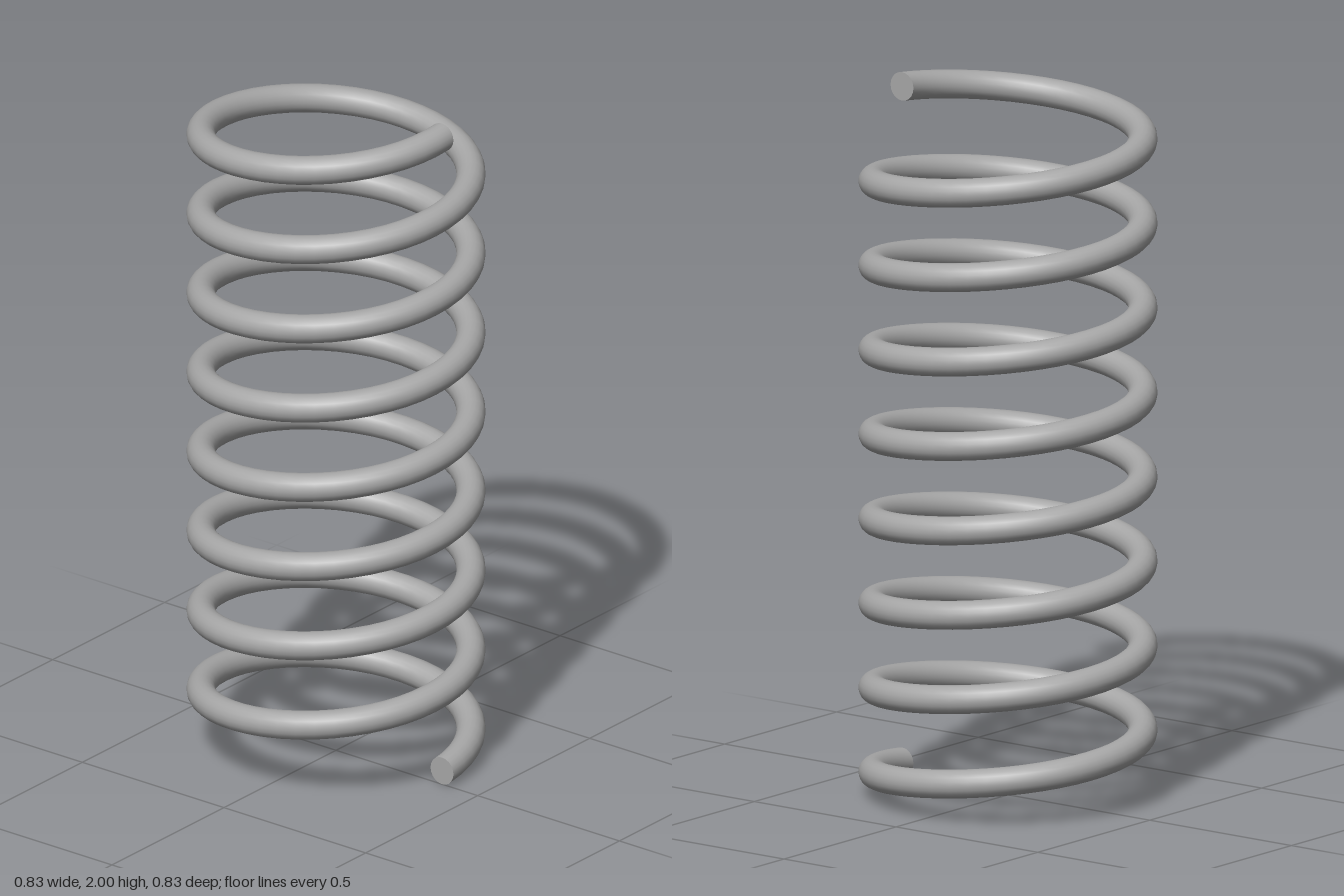
import * as THREE from 'three';

const TURNS = 8;
const COIL_RADIUS = 0.374;
const WIRE_RADIUS = 0.0405;
const HEIGHT = 2;

// Wraps a capped unit-height cylinder into a helix: its x becomes radial, its z becomes up
function coilGeometry() {
  const geometry = new THREE.CylinderGeometry(WIRE_RADIUS, WIRE_RADIUS, 1, 20, TURNS * 48);
  const { position, normal } = geometry.attributes;
  const rise = HEIGHT - 2 * WIRE_RADIUS;
  const slope = rise / (TURNS * 2 * Math.PI * COIL_RADIUS);
  const n = new THREE.Vector3();

  for (let i = 0; i < position.count; i++) {
    const t = position.getY(i) + 0.5;
    const angle = t * TURNS * 2 * Math.PI;
    const c = Math.cos(angle), s = Math.sin(angle);
    const r = COIL_RADIUS + position.getX(i);
    const y = WIRE_RADIUS + t * rise + position.getZ(i);
    position.setXYZ(i, r * c, y, -r * s);

    // Turn the normal with the section, leaning it against the slope of the wire
    const radial = normal.getX(i), up = normal.getZ(i);
    const along = normal.getY(i) - up * slope;
    n.set(radial * c - along * s, up, -radial * s - along * c).normalize();
    normal.setXYZ(i, n.x, n.y, n.z);
  }
  return geometry;
}

export function createModel() {
  const steel = new THREE.MeshStandardMaterial({ color: 0xa6a6a6 });
  steel.name = 'steel grey';

  const model = new THREE.Group();
  model.name = 'coilSpring';

  // The single wound wire with flat cut ends
  const coil = new THREE.Mesh(coilGeometry(), steel);
  coil.name = 'coil';
  model.add(coil);

  return model;
}
